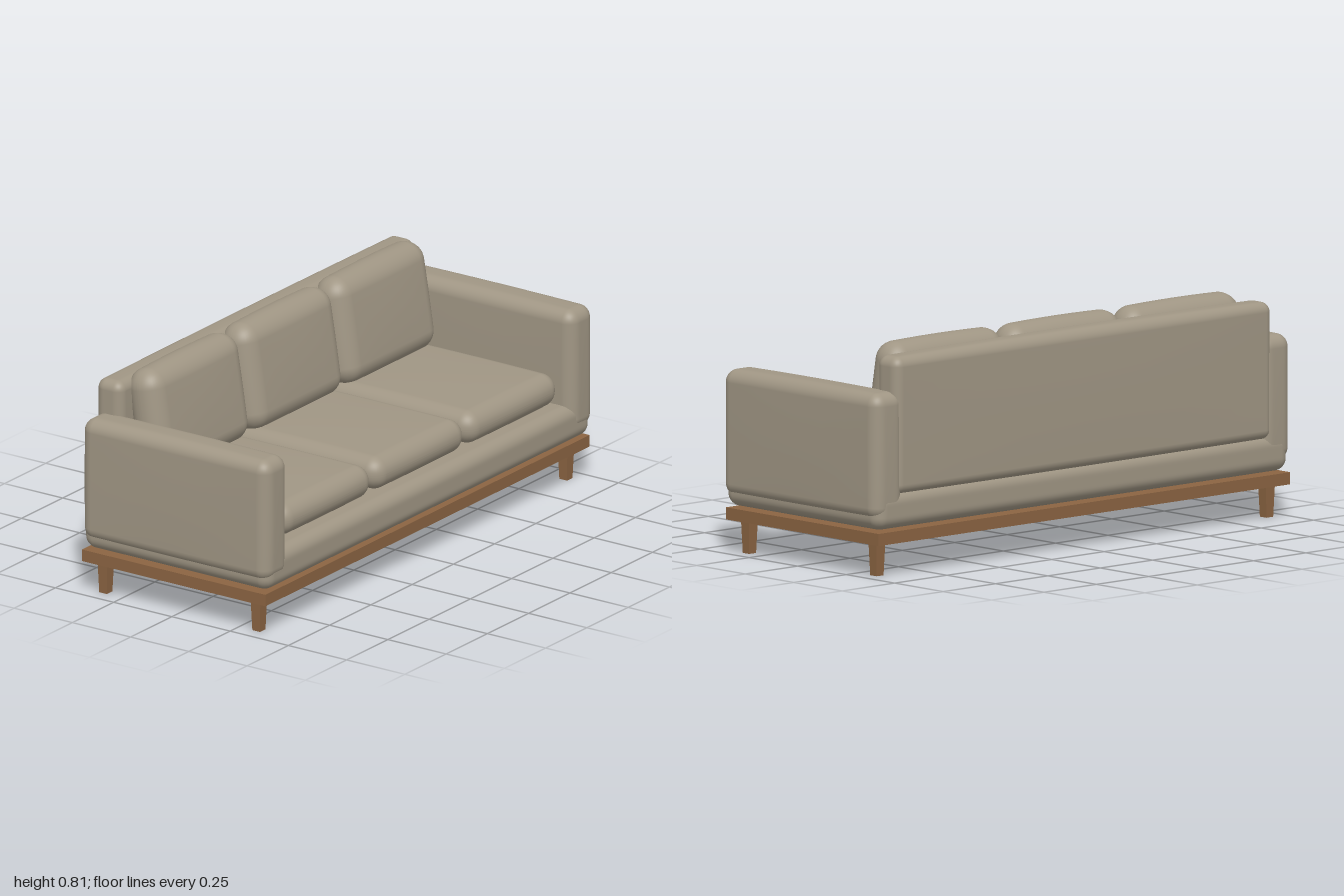
import * as THREE from 'three';
import { mergeVertices } from 'three/addons/utils/BufferGeometryUtils.js';

const fabric = new THREE.MeshStandardMaterial({ color: 0xa09684 });
fabric.name = 'taupe fabric';
const wood = new THREE.MeshStandardMaterial({ color: 0x8b6442 });
wood.name = 'warm wood';

const CORNER = 5; // grid steps across each rounded edge
const FLAT = 6; // grid steps across each face

// Upholstered block: rounded edges, and faces that bulge by the amounts in puff
function softBox(w, h, d, r, puff = [0, 0, 0]) {
  const n = CORNER * 2 + FLAT;
  const geo = new THREE.BoxGeometry(2, 2, 2, n, n, n);
  geo.deleteAttribute('uv');
  geo.deleteAttribute('normal');
  const half = [w / 2 - puff[0], h / 2 - puff[1], d / 2 - puff[2]];
  const inner = half.map((s) => s - r);
  const pos = geo.attributes.position;
  for (let i = 0; i < pos.count; i++) {
    const core = [], dir = [];
    for (let a = 0; a < 3; a++) {
      // grid step from the middle: first across the face, then around the edge
      const step = pos.getComponent(i, a) * n / 2;
      const s = Math.sign(step), m = Math.abs(step);
      core[a] = s * Math.min(m / (FLAT / 2), 1) * inner[a];
      dir[a] = s * Math.tan(Math.max(0, m - FLAT / 2) / CORNER * Math.PI / 4);
    }
    const len = Math.hypot(...dir);
    const p = core.map((c, a) => c + dir[a] / len * r);
    const crown = p.map((v, a) => 1 - Math.min(1, (v / half[a]) ** 2));
    for (let a = 0; a < 3; a++) {
      const bulge = puff[a] * crown[(a + 1) % 3] * crown[(a + 2) % 3];
      pos.setComponent(i, a, p[a] + bulge * p[a] / half[a]);
    }
  }
  const merged = mergeVertices(geo, 1e-5);
  merged.computeVertexNormals();
  return merged;
}

export function createModel() {
  const sofa = new THREE.Group();
  sofa.name = 'sofa';

  const add = (name, geo, mat, x, y, z) => {
    const mesh = new THREE.Mesh(geo, mat);
    mesh.name = name;
    mesh.position.set(x, y, z);
    sofa.add(mesh);
    return mesh;
  };

  // Wooden platform
  add('platform', new THREE.BoxGeometry(1.965, 0.043, 0.787), wood, 0, 0.1385, -0.005);

  // Square legs tapering to the floor
  const leg = new THREE.CylinderGeometry(0.021 * Math.SQRT2, 0.0165 * Math.SQRT2, 0.12, 4, 1)
    .rotateY(Math.PI / 4).toNonIndexed();
  leg.computeVertexNormals();
  for (const x of [-0.93, 0.93]) {
    for (const z of [0.324, -0.333]) add('leg', leg, wood, x, 0.06, z);
  }

  // Upholstered base and back
  add('base', softBox(1.97, 0.142, 0.8, 0.045, [0, 0.003, 0]), fabric, 0, 0.234, 0);
  add('back', softBox(1.8, 0.5, 0.118, 0.035, [0, 0.006, 0.004]), fabric, 0, 0.53, -0.347);

  // Arms
  const arm = softBox(0.148, 0.457, 0.806, 0.045, [0.004, 0.004, 0.003]);
  for (const s of [-1, 1]) add(s > 0 ? 'leftArm' : 'rightArm', arm, fabric, s * 0.925, 0.427, 0.002);

  // Three seat cushions and three leaning back cushions
  const seat = softBox(0.555, 0.136, 0.67, 0.056, [0.004, 0.008, 0.005]);
  const pillow = softBox(0.555, 0.4, 0.155, 0.066, [0.004, 0.006, 0.007]);
  for (const x of [-0.564, 0, 0.564]) {
    add('seatCushion', seat, fabric, x, 0.373, 0.038);
    add('backCushion', pillow, fabric, x, 0.611, -0.238).rotation.x = -0.16;
  }
  return sofa;
}
